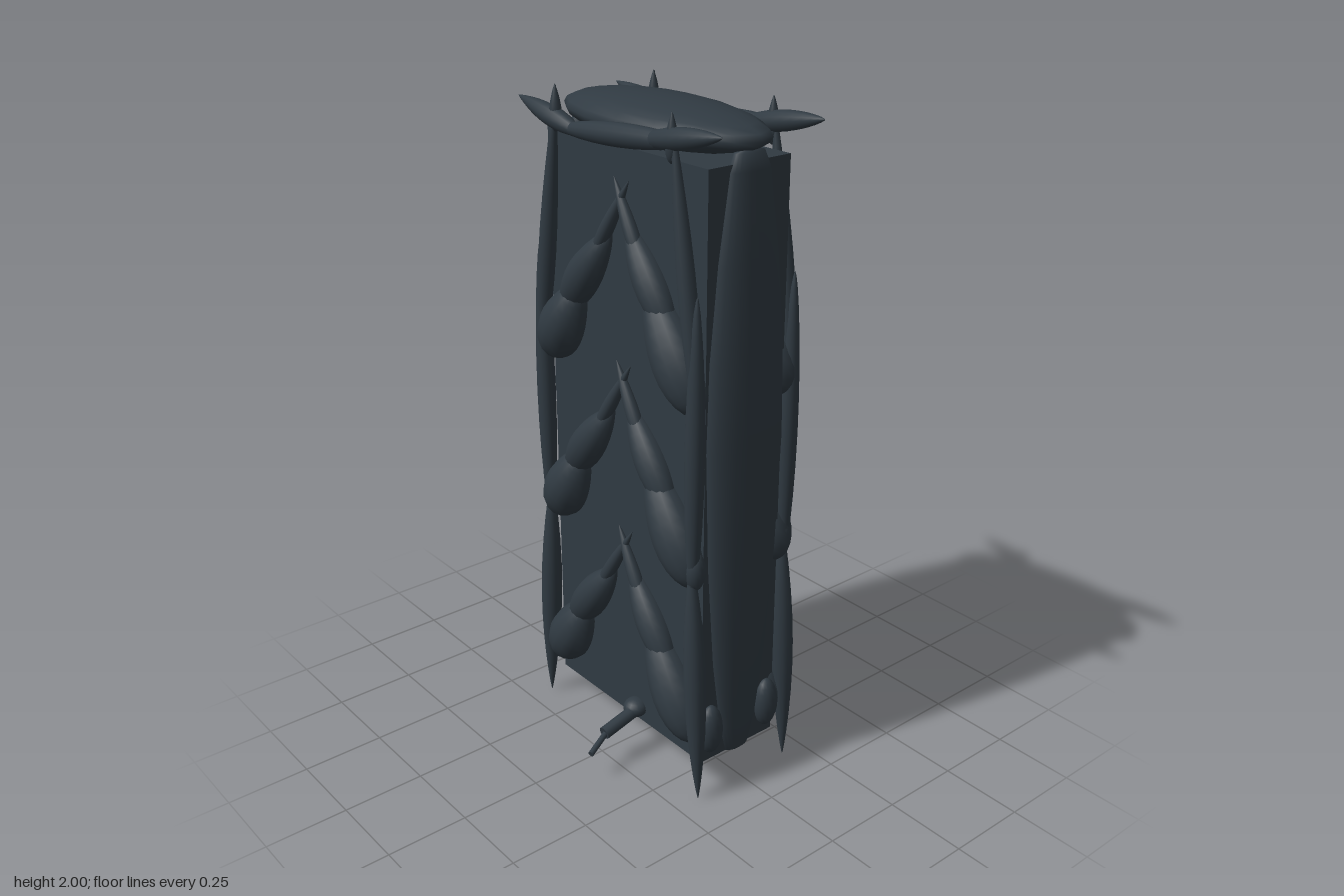
import * as THREE from 'three';

const shell = new THREE.MeshStandardMaterial({ color: 0x303a42 });
shell.name = 'dark shell';
const UP = new THREE.Vector3(0, 1, 0);

function add(group, name, geometry) {
  const mesh = new THREE.Mesh(geometry, shell);
  mesh.name = name;
  group.add(mesh);
  return mesh;
}

// Lays a mesh that is one unit long in +y from point a to point b
function stretch(mesh, a, b) {
  const from = new THREE.Vector3(...a);
  const dir = new THREE.Vector3(...b).sub(from);
  mesh.position.copy(from);
  mesh.scale.y = dir.length();
  mesh.quaternion.setFromUnitVectors(UP, dir.normalize());
  return mesh;
}

// Tapered limb segment; peak is where along its length it is thickest
function spindle(group, name, a, b, r, peak = 0.5, round = 0.8) {
  const k = Math.log(0.5) / Math.log(peak);
  const profile = [];
  for (let i = 0; i <= 14; i++) {
    const t = (1 - Math.cos((Math.PI * i) / 14)) / 2;
    const s = Math.max(0, Math.sin(Math.PI * Math.pow(t, k)));
    profile.push(new THREE.Vector2(i % 14 ? r * Math.pow(s, round) : 0, t));
  }
  return stretch(add(group, name, new THREE.LatheGeometry(profile, 14)), a, b);
}

function rod(group, name, a, b, r) {
  const geometry = new THREE.CylinderGeometry(r, r, 1, 12).translate(0, 0.5, 0);
  return stretch(add(group, name, geometry), a, b);
}

function knob(group, name, pos, size) {
  const mesh = add(group, name, new THREE.SphereGeometry(1, 16, 12));
  mesh.position.set(...pos);
  mesh.scale.set(...size);
  return mesh;
}

// Bulging side shell, narrow at the top and bottom
function sidePanel(group, side) {
  const points = [[0, 0.08], [0.045, 0.1], [0.07, 0.2], [0.1, 0.42], [0.125, 0.75], [0.137, 1.1],
    [0.13, 1.35], [0.105, 1.62], [0.07, 1.85], [0.05, 1.895], [0, 1.905]];
  const profile = points.map(([r, y]) => new THREE.Vector2(r, y));
  const mesh = add(group, 'sidePanel', new THREE.LatheGeometry(profile, 24));
  mesh.position.x = side * 0.335;
  mesh.scale.x = side > 0 ? 0.44 : 0.53;
  for (const z of [-0.11, 0.11]) {
    knob(group, 'lowerSideKnob', [side * 0.345, 0.21, z], [0.035, 0.08, 0.04]);
  }
}

// Long legs and top arm that frame one face
function frame(z) {
  const group = new THREE.Group();
  group.name = 'frame';
  for (const [s, top, mid, foot] of [[-1, 0.25, 0.345, 0.375], [1, 0.237, 0.335, 0.365]]) {
    spindle(group, 'upperPost', [s * top, 2, z], [s * (mid + 0.015), 1.2, z], 0.026, 0.6, 0.6);
    spindle(group, 'middlePost', [s * (mid + 0.005), 1.55, z], [s * (mid - 0.005), 0.62, z], 0.028, 0.5, 0.6);
    knob(group, 'postJoint', [s * (mid - 0.005), 0.75, z - Math.sign(z) * 0.01], [0.03, 0.06, 0.03]);
    spindle(group, 'lowerPost', [s * (mid - 0.01), 0.8, z], [s * foot, 0, z], 0.033, 0.5);
  }
  spindle(group, 'topArmEnd', [-0.43, 1.945, z], [-0.13, 1.88, z], 0.029, 0.55, 0.7);
  spindle(group, 'topArmMiddle', [-0.24, 1.885, z], [0.3, 1.93, z * 0.98], 0.032, 0.5, 0.5);
  spindle(group, 'topArmEnd', [0.08, 1.905, z], [0.425, 1.965, z], 0.029, 0.5, 0.7);
  for (const x of [-0.255, 0.238]) {
    spindle(group, 'topSpike', [x, 1.87, z], [x, 2, z], 0.018, 0.35);
  }
  return group;
}

// Folded legs in a chevron and the bent peg on one face
function faceParts() {
  const group = new THREE.Group();
  group.name = 'faceLegs';
  for (let i = 0; i < 3; i++) {
    const y = 0.17 + i * 0.52;
    spindle(group, 'legBase', [-0.335, y - 0.01, 0.15], [-0.185, y + 0.24, 0.15], 0.077, 0.42, 0.6);
    spindle(group, 'legMiddle', [-0.27, y + 0.14, 0.15], [-0.05, y + 0.42, 0.145], 0.057, 0.47, 0.7);
    spindle(group, 'legTip', [-0.13, y + 0.31, 0.16], [0.03, y + 0.575, 0.145], 0.021, 0.4);
    spindle(group, 'legBase', [0.325, y, 0.15], [0.11, y + 0.33, 0.15], 0.075, 0.38, 0.7);
    spindle(group, 'legMiddle', [0.225, y + 0.19, 0.155], [0.02, y + 0.46, 0.145], 0.05, 0.45, 0.7);
    spindle(group, 'legTip', [0.11, y + 0.34, 0.16], [-0.035, y + 0.575, 0.145], 0.021, 0.4);
  }
  knob(group, 'pegBase', [0.045, 0.145, 0.15], [0.038, 0.03, 0.04]);
  rod(group, 'peg', [0.052, 0.145, 0.14], [0.06, 0.115, 0.285], 0.02);
  rod(group, 'pegTip', [0.058, 0.118, 0.27], [0.092, 0.092, 0.36], 0.009);
  // Small feet under the slab
  for (const x of [-0.28, 0.08, 0.29]) {
    knob(group, 'underKnob', [x, 0.1, 0.08], [0.035, 0.014, 0.025]);
  }
  return group;
}

export function createModel() {
  const model = new THREE.Group();
  model.name = 'shellMonolith';

  const slab = add(model, 'slab', new THREE.BoxGeometry(0.68, 1.77, 0.28));
  slab.position.y = 0.985;

  knob(model, 'topCap', [-0.005, 1.925, 0], [0.39, 0.065, 0.165]);

  for (const side of [-1, 1]) sidePanel(model, side);
  for (const z of [0.172, -0.172]) model.add(frame(z));

  const front = faceParts();
  const back = faceParts();
  back.rotation.y = Math.PI;
  model.add(front, back);
  return model;
}
